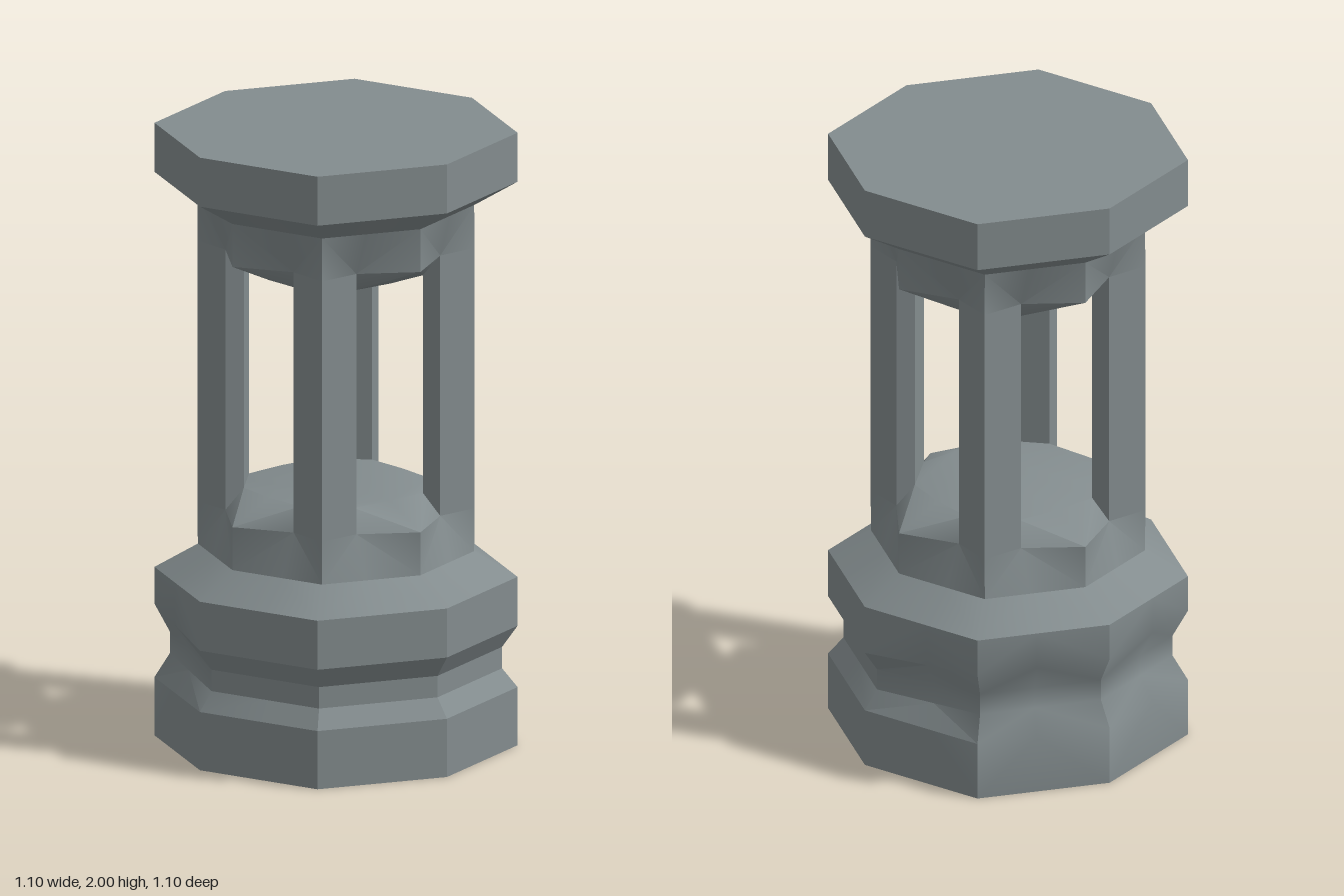
import * as THREE from 'three';
import { toCreasedNormals } from 'three/addons/utils/BufferGeometryUtils.js';

const K = 0.735; // diagonal corner coordinate relative to the axis corner

// Repeats the four points of one quarter around the axis; lift raises the rear corners.
function ring(quarter, y, lift = 0) {
  const points = [];
  let part = quarter;
  for (let q = 0; q < 4; q++) {
    points.push(...part);
    part = part.map(([x, z]) => [z, -x]);
  }
  const back = Math.max(...quarter.map(([, z]) => z)) * K;
  return points.map(([x, z]) => [x, y + lift * THREE.MathUtils.clamp(-z / back, 0, 1), z]);
}

// Octagon with corners on the axes and an extra point on each edge at the window jambs
function octagon(radius, y, lift) {
  const a = 0.17 / 0.42;
  const b = 1 - a * (1 - K) / K;
  const quarter = [[0, 1], [a, b], [K, K], [b, a]];
  return ring(quarter.map(([x, z]) => [x * radius, z * radius]), y, lift);
}

// Outer window edge: pointed in the middle, flush with the square pillars beside it
const windowEdge = (y) => ring([[0, 0.42], [0.17, 0.31], [0.31, 0.31], [0.31, 0.17]], y);
// Inner window edge, which also outlines the lantern floor and ceiling
const innerEdge = (y) => ring([[0, 0.27], [0.14, 0.26], [0.2, 0.2], [0.26, 0.14]], y);

// Joins cross-sections from bottom to top; odd selects which segments split the other way.
function loft(rings, odd) {
  const n = rings[0].length;
  const index = [];
  for (let r = 0; r < rings.length - 1; r++) {
    for (let i = 0; i < n; i++) {
      const a = r * n + i, b = r * n + (i + 1) % n;
      const c = b + n, d = a + n;
      if (i % 2 === odd) index.push(a, b, d, b, c, d);
      else index.push(a, b, c, a, c, d);
    }
  }
  const top = (rings.length - 1) * n;
  for (let i = 1; i < n - 1; i++) {
    index.push(0, i + 1, i);
    index.push(top, top + i, top + i + 1);
  }
  const geometry = new THREE.BufferGeometry();
  geometry.setAttribute('position', new THREE.Float32BufferAttribute(rings.flat(2), 3));
  geometry.setIndex(index);
  return toCreasedNormals(geometry, Math.PI / 6);
}

export function createModel() {
  const group = new THREE.Group();
  const material = new THREE.MeshStandardMaterial({ color: 0x838c8e });
  const add = (name, geometry) => {
    const mesh = new THREE.Mesh(geometry, material);
    mesh.name = name;
    group.add(mesh);
    return mesh;
  };

  // Grooved pedestal, neck and sloping sills up to the lantern floor
  add('base', loft([
    octagon(0.552, 0), octagon(0.552, 0.19),
    octagon(0.505, 0.25, 0.02), octagon(0.505, 0.32, 0.02),
    octagon(0.552, 0.39, 0.04), octagon(0.552, 0.55),
    octagon(0.42, 0.63), windowEdge(0.77), innerEdge(0.84),
  ], 1));

  // Ceiling, sloping lintels, upper neck and flared cap
  add('cap', loft([
    innerEdge(1.55), windowEdge(1.62), octagon(0.42, 1.76),
    octagon(0.552, 1.84), octagon(0.552, 2),
  ], 0));

  // Four corner pillars with splayed jambs, leaving a window on each side
  const section = [[0.17, 0.31], [0.31, 0.31], [0.31, 0.17], [0.26, 0.14], [0.14, 0.26]];
  const pillar = loft([0.77, 1.62].map((y) => section.map(([x, z]) => [x, y, z])), 1);
  for (let i = 0; i < 4; i++) add('pillar', pillar).rotation.y = i * Math.PI / 2;

  return group;
}
